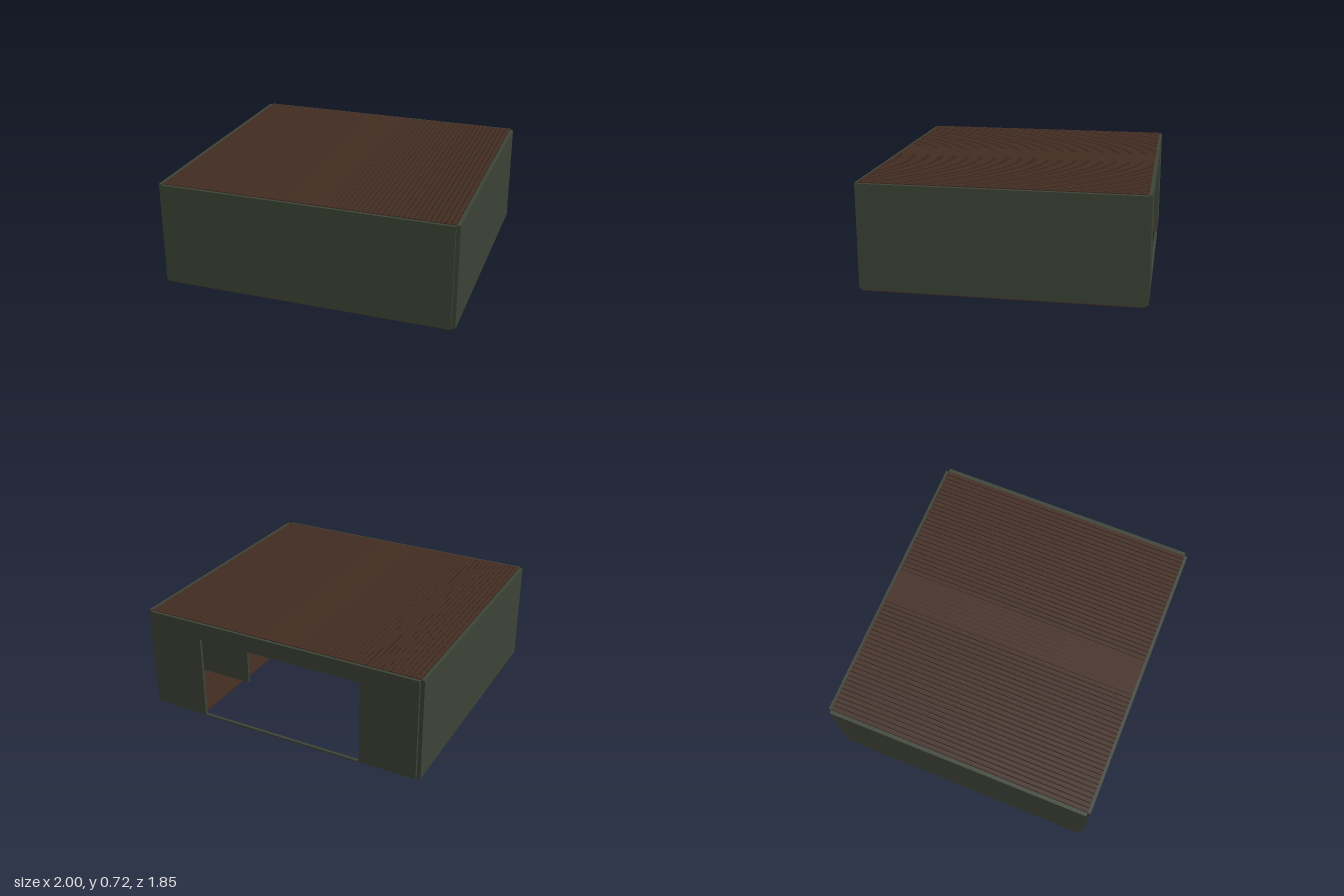
import * as THREE from 'three';

export function createModel() {
  const model = new THREE.Group();
  model.name = 'timberRoom';

  const mat = (name, color) => {
    const m = new THREE.MeshStandardMaterial({ color });
    m.name = name;
    return m;
  };
  const green = mat('wall green', 0x3d4437);
  const brown = mat('plank brown', 0x442d23);
  const dark = mat('gap dark brown', 0x1f1510);
  const beamBrown = mat('beam red brown', 0x533125);

  // Box given by its extents on each axis
  const box = (name, material, x0, x1, y0, y1, z0, z1, parent = model) => {
    const mesh = new THREE.Mesh(new THREE.BoxGeometry(x1 - x0, y1 - y0, z1 - z0), material);
    mesh.position.set((x0 + x1) / 2, (y0 + y1) / 2, (z0 + z1) / 2);
    mesh.name = name;
    parent.add(mesh);
    return mesh;
  };
  const group = (name) => {
    const g = new THREE.Group();
    g.name = name;
    model.add(g);
    return g;
  };

  const X = 0.975, Z = 0.905, H0 = 0.015, H1 = 0.715;
  const DOOR = 0.585, PIT = 0.62, PIT_Z = 0.08;
  const pitch = 0.0325;

  // Front and side walls, with notched outer corners
  box('frontWall', green, -X, X, H0, H1, Z, 0.925);
  for (const s of [-1, 1]) {
    box('sideWall', green, s > 0 ? X : -1, s > 0 ? 1 : -X, H0, H1, -Z, Z);
  }

  // Back wall around a wide doorway
  const back = group('backWall');
  box('doorJamb', green, -X, -DOOR, H0, H1, -0.925, -Z, back);
  box('doorJamb', green, DOOR, X, H0, H1, -0.925, -Z, back);
  box('doorLintel', green, -DOOR, DOOR, 0.6, H1, -0.925, -Z, back);
  box('doorSill', green, -DOOR, DOOR, 0.008, 0.02, -0.925, -Z, back);

  // Roof: dark core with planks showing on both sides
  const roof = group('roof');
  box('roofCore', dark, -X, X, 0.708, 0.713, -Z, Z, roof);
  for (let x = -X; x < X - 0.001; x += pitch) {
    const middle = Math.abs(x + pitch / 2) < 0.115;
    const gap = middle ? 0 : 0.003;
    box('roofPlank', brown, x + gap, x + pitch - gap, 0.703, 0.72, -Z, Z, roof);
  }

  // Floor: open pit just inside the doorway
  const floor = group('floor');
  box('floorBase', brown, -X, X, 0, 0.01, PIT_Z, Z, floor);
  for (const s of [-1, 1]) {
    box('floorBase', brown, s > 0 ? PIT : -X, s > 0 ? X : -PIT, 0, 0.01, -Z, PIT_Z, floor);
  }
  for (let x = -X; x < X - 0.001; x += pitch) {
    const inPit = Math.abs(x + pitch / 2) < PIT;
    box('floorPlank', brown, x + 0.002, x + pitch - 0.002, 0.009, 0.016, inPit ? PIT_Z : -Z, Z, floor);
  }

  // Ceiling beams, with a post at each end
  const frame = group('timberFrame');
  const bays = [-0.39, -0.08, 0.235, 0.55, 0.875];
  for (const z of bays) {
    box('ceilingBeam', beamBrown, -X, X, 0.665, 0.703, z - 0.02, z + 0.02, frame);
    for (const s of [-1, 1]) {
      box('wallPost', beamBrown, s > 0 ? 0.935 : -X, s > 0 ? X : -0.935, 0.016, 0.665, z - 0.02, z + 0.02, frame);
    }
  }

  // Partition panels either side of the entrance
  for (const s of [-1, 1]) {
    box('partition', green, s > 0 ? 0.56 : -X, s > 0 ? X : -0.56, 0.016, 0.59, -0.43, -0.415);
  }

  // Lattice windows between the posts on the side walls
  const lattice = group('latticeWindows');
  for (const s of [-1, 1]) {
    const x0 = s > 0 ? 0.96 : -X, x1 = s > 0 ? X : -0.96;
    for (let b = 0; b < bays.length - 1; b++) {
      const z0 = bays[b] + 0.035, z1 = bays[b + 1] - 0.035;
      for (let i = 0; i <= 4; i++) {
        const z = z0 + (z1 - z0) * i / 4;
        box('windowUpright', beamBrown, x0, x1, 0.2, 0.64, z - 0.006, z + 0.006, lattice);
      }
      for (let j = 0; j <= 6; j++) {
        const y = 0.2 + 0.44 * j / 6;
        box('windowRail', beamBrown, x0, x1, y - 0.006, y + 0.006, z0, z1, lattice);
      }
    }
  }

  return model;
}
